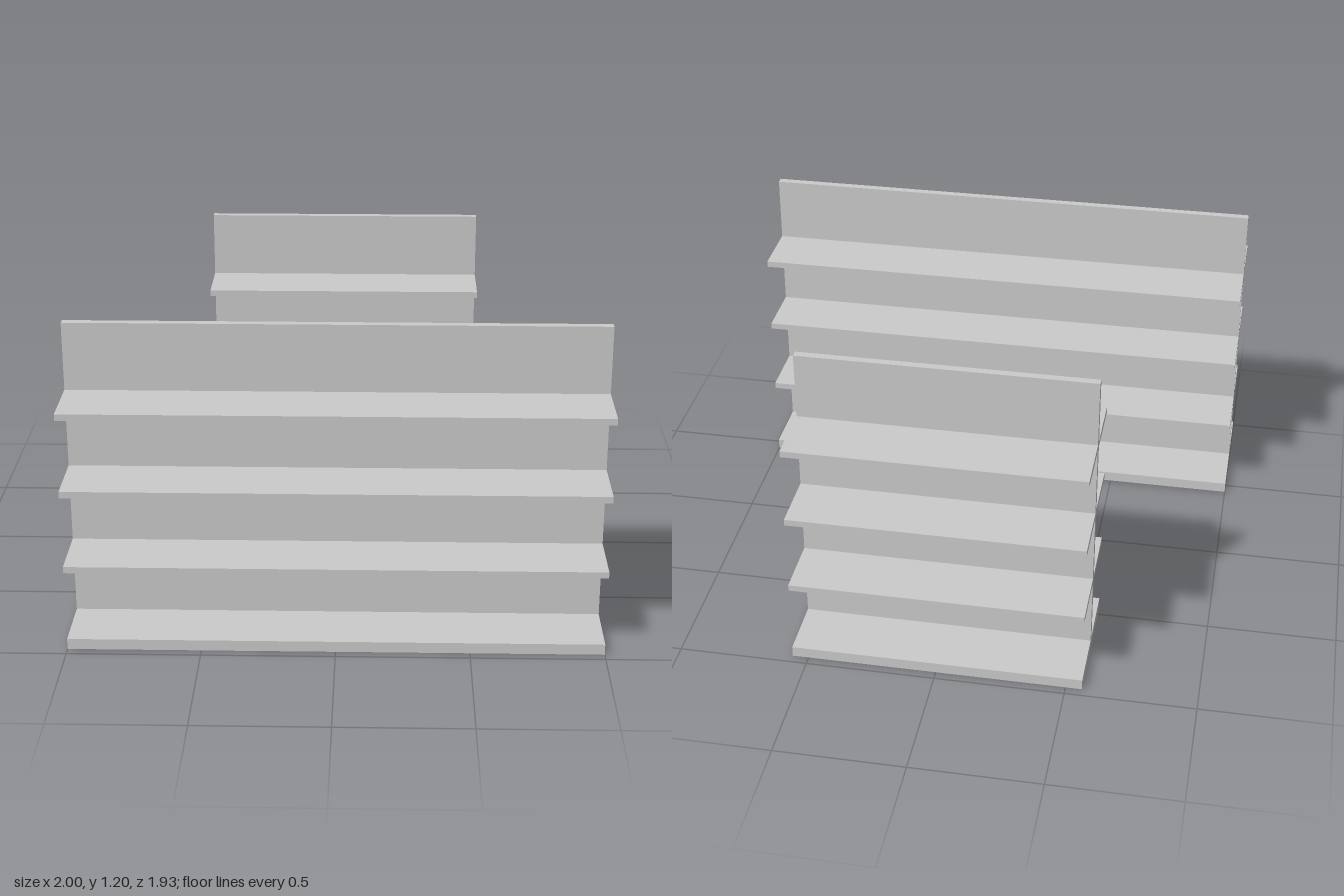
import * as THREE from 'three';

const material = new THREE.MeshStandardMaterial({ color: 0xcccccc });
const HEIGHT = 1.204, DEPTH = 0.514, BASE = 0.042, SHELF = 0.025, PANEL = 0.03;

// Box named after its part, spanning from y = bottom upwards
function slab(name, width, height, depth, bottom) {
  const mesh = new THREE.Mesh(new THREE.BoxGeometry(width, height, depth), material);
  mesh.name = name;
  mesh.position.y = bottom + height / 2;
  return mesh;
}

// Double-sided shelving unit: base, central panel and three shelf levels
function shelvingUnit(name, width, z) {
  const unit = new THREE.Group();
  unit.name = name;
  unit.add(slab('base', width, BASE, DEPTH, 0));
  unit.add(slab('centrePanel', width, HEIGHT - BASE, PANEL, BASE));
  const shelfDepth = (DEPTH - PANEL) / 2;
  for (let level = 1; level <= 3; level++) {
    for (const side of [1, -1]) {
      const shelf = slab(side > 0 ? 'frontShelf' : 'rearShelf', width, SHELF, shelfDepth, 0.013 + level * 0.302);
      shelf.position.z = side * (PANEL + shelfDepth) / 2;
      unit.add(shelf);
    }
  }
  unit.position.z = z;
  return unit;
}

export function createModel() {
  const model = new THREE.Group();
  model.name = 'shelvingUnits';
  model.add(shelvingUnit('longShelvingUnit', 2, 0.707));
  model.add(shelvingUnit('shortShelvingUnit', 1.126, -0.707));
  return model;
}
